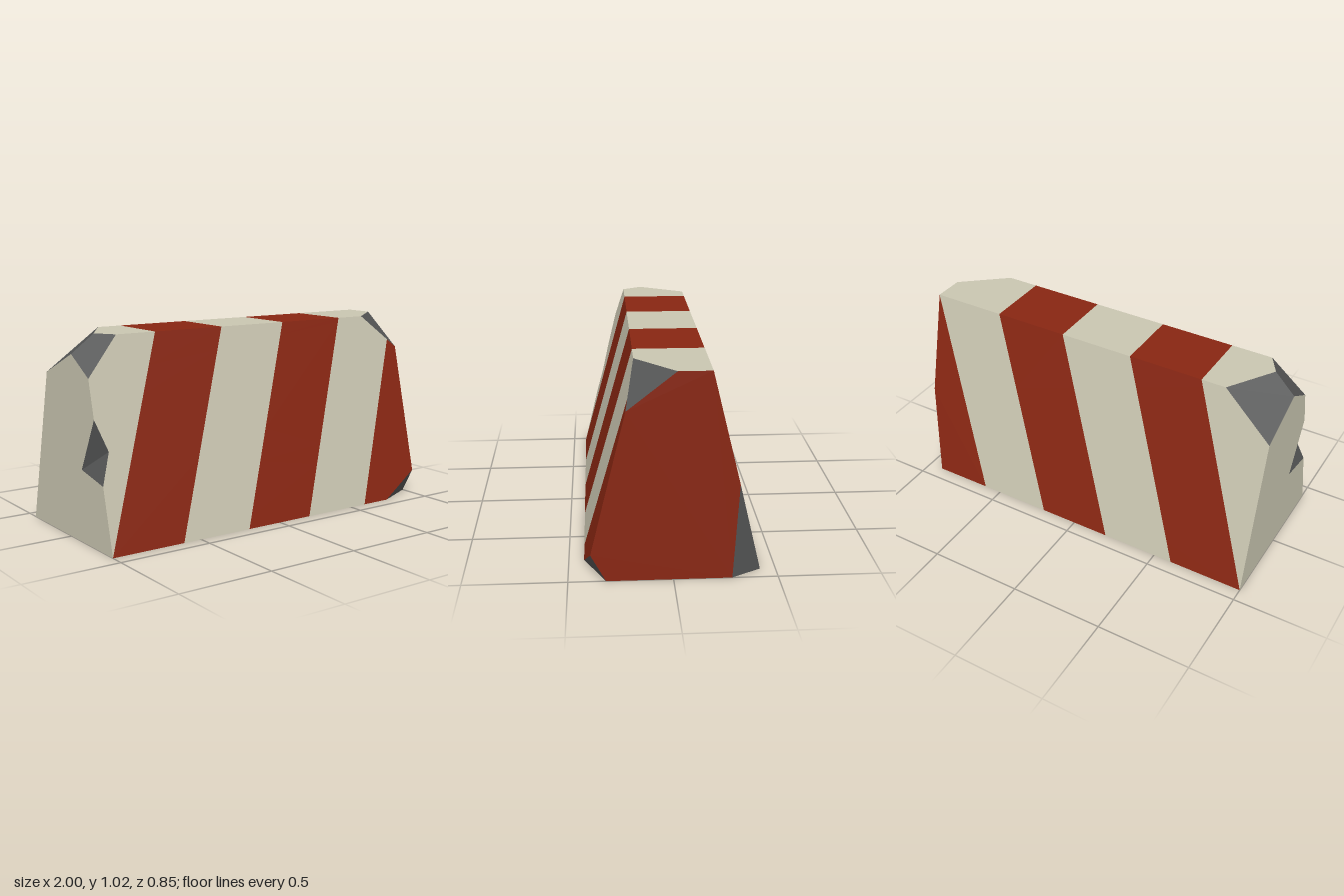
import * as THREE from 'three';

const H = 1.025, BASE = 0.425, TOP = 0.175; // height, half depths
const STRIPE = 0.4;                         // stripe width, and its lean over the full height
const EPS = 1e-6;

const V = (x, y, z) => new THREE.Vector3(x, y, z);
const slope = y => BASE + (TOP - BASE) * y / H;
const F = (x, y) => V(x, y, slope(y));      // point on the front slope
const B = (x, y) => V(x, y, -slope(y));     // point on the back slope
const lean = p => p.x - STRIPE * p.y / H;   // position across the slanted stripes

// Triangulates a flat outline and turns every triangle towards "out"
function triangles(points, out) {
  const a = ['x', 'y', 'z'].map(k => Math.abs(out[k]));
  const drop = a.indexOf(Math.max(...a));
  const flat = points.map(p => new THREE.Vector2(...p.toArray().filter((_, i) => i !== drop)));
  return THREE.ShapeUtils.triangulateShape(flat, []).map(ids => {
    const t = ids.map(i => points[i]);
    const n = t[1].clone().sub(t[0]).cross(t[2].clone().sub(t[0]));
    return n.dot(out) < 0 ? t.reverse() : t;
  });
}

// Keeps the part of a convex polygon where sign * (lean - limit) >= 0
function clip(poly, limit, sign) {
  const result = [];
  poly.forEach((p, i) => {
    const q = poly[(i + 1) % poly.length];
    const dp = sign * (lean(p) - limit), dq = sign * (lean(q) - limit);
    if (dp >= -EPS) result.push(p);
    if ((dp > EPS && dq < -EPS) || (dp < -EPS && dq > EPS)) {
      result.push(p.clone().lerp(q, dp / (dp - dq)));
    }
  });
  return result;
}

function meshFrom(polys, name, color) {
  const pos = [];
  for (const poly of polys) {
    for (let i = 1; i < poly.length - 1; i++) {
      for (const p of [poly[0], poly[i], poly[i + 1]]) pos.push(p.x, p.y, p.z);
    }
  }
  const geo = new THREE.BufferGeometry();
  geo.setAttribute('position', new THREE.Float32BufferAttribute(pos, 3));
  geo.computeVertexNormals();
  const mesh = new THREE.Mesh(geo, new THREE.MeshStandardMaterial({ color, flatShading: true }));
  mesh.name = name;
  return mesh;
}

export function createModel() {
  const group = new THREE.Group();
  group.name = 'roadBarrier';

  // Corners of the chips at the +x end
  const topChip = [F(0.77, H), F(1, 0.84), V(1, H, -0.015)];
  const footChip = [F(0.77, 0), F(1, 0.135), V(1, 0, 0.32)];
  const backChip = [B(0.915, 0), B(1, 0.475), V(1, 0, -0.28)];
  // Corners of the two broken facets at the -x end
  const ridgeTop = V(-0.885, H, 0.07), ridgeEnd = V(-1, 0.93, 0.05);
  const frontTop = F(-0.82, H), frontEnd = F(-1, 0.83);
  const backTop = B(-0.73, H), backEnd = B(-1, 0.81);
  // Notch in the front edge of the -x end
  const notchHigh = F(-1, 0.64), notchLow = F(-1, 0.33);
  const notchFace = F(-0.945, 0.485), notchEnd = V(-1, 0.37, 0.13);

  // Painted faces of the block
  const painted = [
    ...triangles([F(-1, 0), footChip[0], footChip[1], topChip[1], topChip[0],
      frontTop, frontEnd, notchHigh, notchFace, notchLow], V(0, 0, 1)),
    ...triangles([B(-1, 0), backChip[0], backChip[1], B(1, H), backTop, backEnd], V(0, 0, -1)),
    ...triangles([frontTop, topChip[0], topChip[2], B(1, H), backTop, ridgeTop], V(0, 1, 0)),
    ...triangles([F(-1, 0), footChip[0], footChip[2], backChip[2], backChip[0], B(-1, 0)], V(0, -1, 0)),
    ...triangles([footChip[2], footChip[1], topChip[1], topChip[2], B(1, H),
      backChip[1], backChip[2]], V(1, 0, 0)),
    ...triangles([B(-1, 0), F(-1, 0), notchLow, notchEnd, notchHigh, frontEnd,
      ridgeEnd, backEnd], V(-1, 0, 0)),
  ];

  // Slanted stripes, alternating cream and red
  for (let k = 0; k < 6; k++) {
    const start = -1.4 + k * STRIPE;
    const polys = painted
      .map(t => clip(clip(t, start, 1), start + STRIPE, -1))
      .filter(p => p.length > 2);
    group.add(k % 2 ? meshFrom(polys, 'redStripe', 0x882612) : meshFrom(polys, 'creamStripe', 0xcac6b1));
  }

  // Bare broken surfaces
  const chips = [
    ['topCornerChip', topChip, V(1, 1.2, 1)],
    ['footCornerChip', footChip, V(1, -1.2, 1)],
    ['backCornerChip', backChip, V(1, -0.2, -0.8)],
    ['backTopBreak', [backTop, ridgeTop, ridgeEnd, backEnd], V(-0.8, 1, -0.5)],
    ['frontTopBreak', [ridgeTop, frontTop, frontEnd, ridgeEnd], V(-0.8, 1, 0.5)],
    ['notchUpperSide', [notchHigh, notchFace, notchEnd], V(-1, 0, 0)],
    ['notchLowerSide', [notchLow, notchFace, notchEnd], V(-1, 0, 0)],
  ];
  for (const [name, points, out] of chips) group.add(meshFrom(triangles(points, out), name, 0x555656));

  return group;
}
